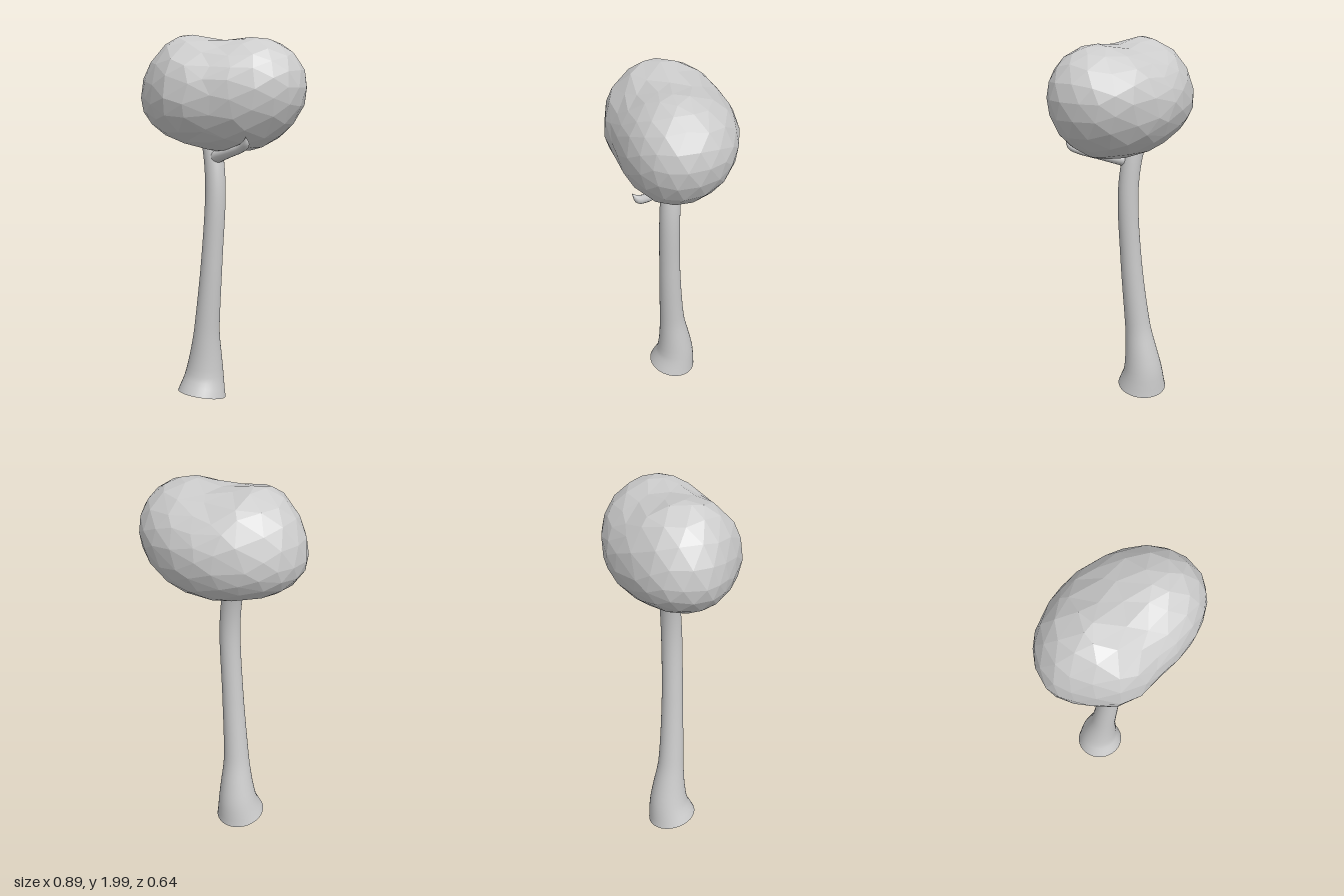
import * as THREE from 'three';
import { mergeVertices } from 'three/addons/utils/BufferGeometryUtils.js';

const V = (x, y, z) => new THREE.Vector3(x, y, z);

// Round limb swept along a smooth path; one radius per path point.
function limb(name, points, radii, segments, sides) {
  const path = new THREE.CatmullRomCurve3(points.map((p) => V(...p)));
  const size = new THREE.CatmullRomCurve3(radii.map((r, i) => V(r, i, 0)));
  let geo = new THREE.TubeGeometry(path, segments, 1, sides, false);
  const pos = geo.attributes.position;
  const v = V(0, 0, 0);
  for (let i = 0; i <= segments; i++) {
    const u = i / segments;
    const centre = path.getPointAt(u);
    const r = Math.max(size.getPoint(path.getUtoTmapping(u)).x, 0.001);
    for (let j = 0; j <= sides; j++) {
      const k = i * (sides + 1) + j;
      v.fromBufferAttribute(pos, k).sub(centre).multiplyScalar(r).add(centre);
      pos.setXYZ(k, v.x, v.y, v.z);
    }
  }
  // Weld the seam so shading stays smooth all round
  geo.deleteAttribute('uv');
  geo.deleteAttribute('normal');
  geo = mergeVertices(geo, 1e-5);
  geo.computeVertexNormals();
  const mesh = new THREE.Mesh(geo, new THREE.MeshStandardMaterial({ color: 0xcccccc, side: THREE.DoubleSide }));
  mesh.name = name;
  return mesh;
}

// Smooth lookup in five values spread over u = -1..1
function profile(values) {
  const curve = new THREE.CatmullRomCurve3(values.map((r, i) => V(r, i, 0)));
  return (u) => curve.getPoint((u + 1) / 2).x;
}

// Faceted two-lobed foliage: a sphere with its four quadrants scaled along x
function canopy() {
  const top = profile([0.38, 0.355, 0.27, 0.305, 0.34]);
  const bottom = profile([0.28, 0.28, 0.305, 0.335, 0.35]);
  const front = profile([0.23, 0.32, 0.28, 0.285, 0.29]);
  const back = profile([0.37, 0.34, 0.348, 0.347, 0.37]);
  const geo = new THREE.IcosahedronGeometry(1, 3);
  const pos = geo.attributes.position;
  const p = V(0, 0, 0);
  for (let i = 0; i < pos.count; i++) {
    p.fromBufferAttribute(pos, i);
    // Uneven facets: slide each corner a little over the sphere
    const { x, y, z } = p;
    const slide = 0.06 * (1 - x * x);
    p.x += slide * Math.sin(13 * y + 7 * z + 5 * x);
    p.y += slide * Math.sin(11 * z + 9 * x + 1);
    p.z += slide * Math.sin(12 * x + 8 * y + 2);
    p.normalize();
    const u = THREE.MathUtils.clamp(p.x, -1, 1);
    pos.setXYZ(i,
      0.445 * u,
      1.7 + 0.03 * u + p.y * (p.y > 0 ? top(u) : bottom(u)),
      0.02 + p.z * (p.z > 0 ? front(u) : back(u)));
  }
  geo.computeVertexNormals();
  const mesh = new THREE.Mesh(geo, new THREE.MeshStandardMaterial({ color: 0xcccccc, flatShading: true }));
  mesh.name = 'canopy';
  return mesh;
}

export function createModel() {
  const tree = new THREE.Group();
  tree.name = 'tree';

  // Flared, leaning trunk, open underneath
  tree.add(limb('trunk', [
    [-0.135, 0.033, -0.033], [-0.126, 0.12, -0.048], [-0.116, 0.23, -0.044], [-0.103, 0.4, -0.027],
    [-0.067, 0.8, -0.006], [-0.045, 1.2, -0.003], [-0.065, 1.4, -0.02], [-0.1, 1.52, -0.04],
  ], [0.135, 0.112, 0.093, 0.071, 0.058, 0.055, 0.053, 0.05], 36, 32));

  // Side branch reaching forward, rounded at its tip
  tree.add(limb('branch', [
    [-0.06, 1.36, -0.01], [-0.01, 1.375, 0.03], [0.07, 1.4, 0.1],
    [0.14, 1.425, 0.165], [0.175, 1.45, 0.205], [0.183, 1.49, 0.235],
  ], [0.04, 0.033, 0.025, 0.022, 0.02, 0], 24, 14));

  tree.add(canopy());
  return tree;
}
